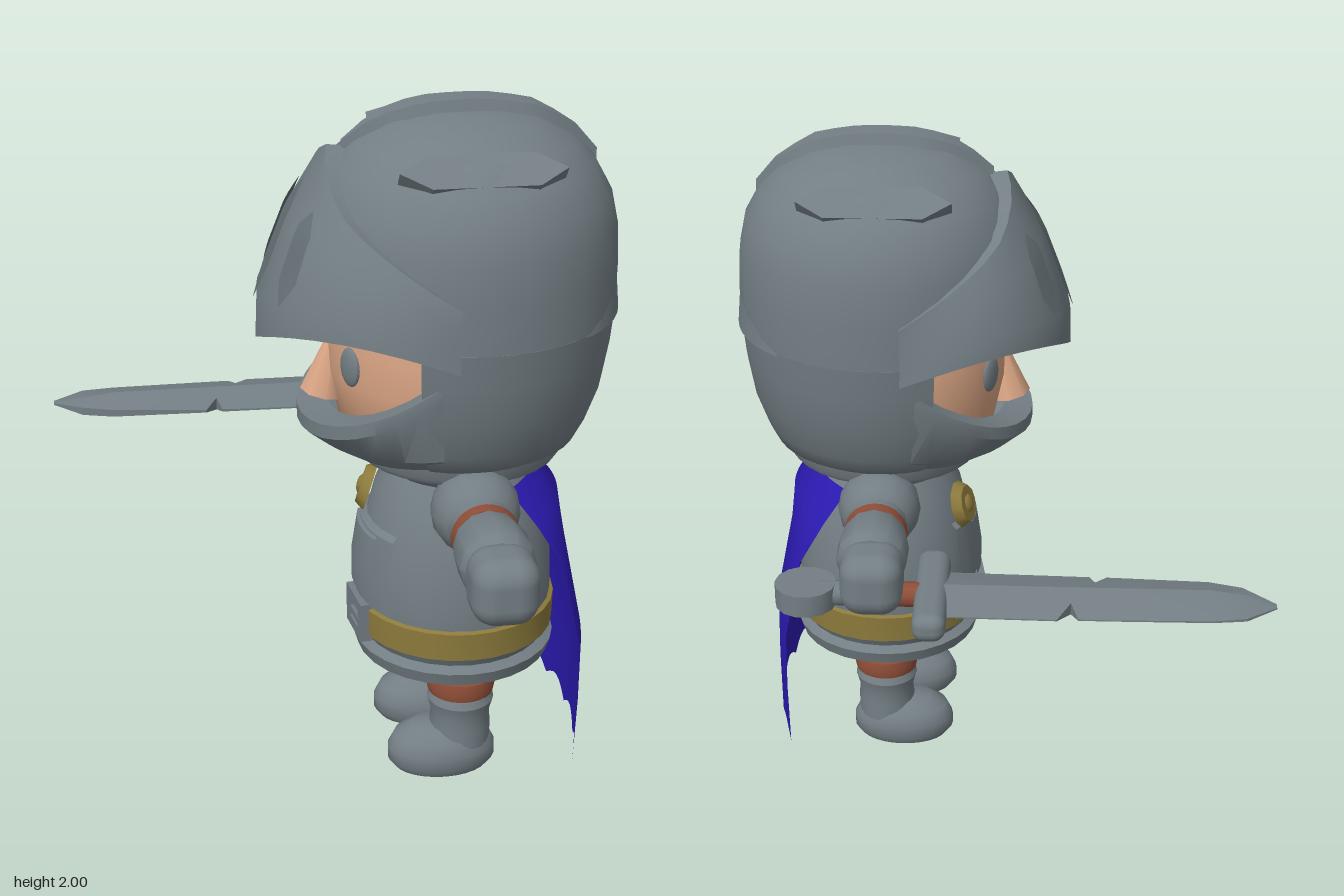
import * as THREE from 'three';
import { toCreasedNormals } from 'three/addons/utils/BufferGeometryUtils.js';
import { RoundedBoxGeometry } from 'three/addons/geometries/RoundedBoxGeometry.js';

const rad = THREE.MathUtils.degToRad;
const lerp = THREE.MathUtils.lerp;

const material = (name, color) => {
  const m = new THREE.MeshStandardMaterial({ color, side: THREE.DoubleSide });
  m.name = name;
  return m;
};

export function createModel() {
  const steel = material('steel', 0x737e84);
  const slitSteel = material('dark steel', 0x646f74);
  const skin = material('skin', 0xdba685);
  const leather = material('leather', 0x8f4e38);
  const gold = material('old gold', 0x8c7a3c);
  const blue = material('blue cloth', 0x2b1ab0);

  // The figure is built facing +z, then turned to its pose.
  const knight = new THREE.Group();
  knight.name = 'knight';
  knight.rotation.y = -Math.PI / 4;
  knight.position.set(0.365, 0, 0.065);

  const add = (name, geometry, mat, x = 0, y = 0, z = 0, parent = knight) => {
    const mesh = new THREE.Mesh(geometry, mat);
    mesh.name = name;
    mesh.position.set(x, y, z);
    parent.add(mesh);
    return mesh;
  };
  const crease = (g, angle = 0.6) => toCreasedNormals(g, angle);
  const outline = points => points.map(p => new THREE.Vector2(...p));

  // Turned part from [radius, y] pairs, optionally only between two angles from the front.
  const turned = (points, from = 0, to = 360, segments = 28) => crease(
    new THREE.LatheGeometry(outline(points), segments, rad(from), rad(to - from)));

  // Sheet whose points follow fn(u, v).
  const sheet = (nu, nv, fn, angle = 0.6) => {
    const g = new THREE.PlaneGeometry(1, 1, nu, nv);
    const uv = g.attributes.uv;
    for (let i = 0; i < uv.count; i++) g.attributes.position.setXYZ(i, ...fn(uv.getX(i), uv.getY(i)));
    return crease(g, angle);
  };
  const polar = (deg, r, y) => [r * Math.sin(rad(deg)), y, r * Math.cos(rad(deg))];

  // Helmet dome, sides and neck ring
  const dome = [[0.41, 1.42], [0.43, 1.42], [0.432, 1.55], [0.425, 1.66], [0.405, 1.75], [0.36, 1.83],
    [0.3, 1.89], [0.2, 1.945], [0.1, 1.965], [0, 1.97]];
  const domeY = r => {
    const i = dome.findIndex((p, k) => k > 1 && p[0] <= r);
    const [r0, y0] = dome[i - 1], [r1, y1] = dome[i];
    return lerp(y0, y1, (r - r0) / (r1 - r0));
  };
  add('helmetDome', turned(dome), steel);
  add('helmetSides', turned([[0.29, 1.02], [0.34, 1.05], [0.365, 1.1], [0.4, 1.2], [0.42, 1.32], [0.43, 1.42]], 66, 294), steel);
  add('neckRing', turned([[0.2, 0.93], [0.25, 0.985], [0.29, 0.985], [0.3, 1.0], [0.305, 1.05], [0.2, 1.06]]), steel);

  // Raised fold across the back of the helmet, tapering to its ends
  add('backFold', sheet(14, 2, (u, v) => {
    const swell = Math.sin(Math.PI * u);
    const k = Math.round(v * 2);
    return polar(lerp(132, 228, u), [0.42, 0.431 + 0.009 * swell, 0.43][k], [1.415, 1.415, 1.42 + 0.1 * swell][k]);
  }), steel);

  // Visor: swept bands around the front of the helmet
  const visorPoint = (deg, k, out = 0) => {
    const a = Math.min(1, Math.abs(deg) / 80);
    const yb = 1.34 + 0.11 * Math.sin(a * 2.8), yt = 1.88 - 0.33 * a ** 1.15;
    const rb = 0.57 - 0.12 * a ** 1.7, rt = Math.min(0.442, 0.37 + 0.15 * a);
    const rows = [[0.36, yb + 0.03], [rb, yb], [rb - 0.005, lerp(yb, yt, 0.22)],
      [lerp(rb, rt, 0.5), lerp(yb, yt, 0.68)], [rt, yt], [rt - 0.08, yt - 0.01]];
    const i = Math.min(4, Math.floor(k));
    return polar(deg, lerp(rows[i][0], rows[i + 1][0], k - i) + out, lerp(rows[i][1], rows[i + 1][1], k - i));
  };
  add('visor', sheet(18, 5, (u, v) => visorPoint(lerp(-80, 80, u), v * 5)), steel);
  for (const deg of [-21, 0, 21]) {
    add('visorSlit', sheet(2, 8, (u, v) => {
      const width = Math.min(1, 0.05 + 4 * Math.min(v, 1 - v)) * 9;
      return visorPoint(deg + (u - 0.5) * width, lerp(2.0, 3.5, v), 0.009);
    }), slitSteel);
  }

  // Jaw guard
  add('jawGuard', sheet(18, 5, (u, v) => {
    const deg = lerp(-74, 74, u), a = Math.abs(deg) / 74;
    const top = 1.13 + 0.2 * a ** 2.2;
    const front = 1 + 0.04 * Math.cos(rad(deg));
    const rows = [[0.2, 0.95], [0.29, lerp(0.97, 1.03, a)], [0.385, lerp(1.04, 1.09, a)], [0.44, top - 0.04],
      [0.44, top], [0.37, top + 0.01]];
    const [r, y] = rows[Math.round(v * 5)];
    return polar(deg, r * (r > 0.37 ? lerp(front, 0.95, a * a) : 1), y);
  }), steel);

  // Crest along the top of the helmet
  add('crest', sheet(3, 12, (u, v) => {
    const z = lerp(0.33, -0.37, v);
    const w = 0.008 + 0.05 * Math.min(1, 4 * Math.min(v, 1 - v));
    const k = Math.round(u * 3);
    return [[-w, -w * 0.7, w * 0.7, w][k], domeY(Math.abs(z)) + (k % 3 ? 0.03 : -0.03), z];
  }, 0.4), steel);

  // Hexagonal plates set onto both sides of the dome
  const hexagon = new THREE.Shape(outline(
    [[-0.22, 0], [-0.14, 0.05], [0.14, 0.05], [0.22, 0], [0.14, -0.05], [-0.14, -0.05]]));
  for (const s of [1, -1]) {
    const plate = add('domePlate', new THREE.ExtrudeGeometry(hexagon, { depth: 0.1, bevelEnabled: false }), steel,
      s * 0.237, 1.806, 0);
    plate.rotation.y = s * Math.PI / 2;
    plate.rotateX(-0.85);
  }

  // Face
  add('face', turned([[0.25, 1.0], [0.34, 1.1], [0.372, 1.25], [0.372, 1.35], [0.36, 1.5]], -80, 80, 16), skin);
  const nose = add('nose', crease(new THREE.CylinderGeometry(0.016, 0.066, 0.19, 8), 0.9), skin, 0, 1.26, 0.365);
  nose.rotation.x = -0.2;
  for (const s of [1, -1]) {
    const eye = add('eye', new THREE.SphereGeometry(1, 14, 10), steel, s * 0.172, 1.305, 0.33);
    eye.scale.set(0.042, 0.056, 0.014);
    eye.rotation.y = s * 0.48;
    const brow = add('brow', new THREE.BoxGeometry(0.17, 0.035, 0.03), skin, s * 0.18, 1.4, 0.335);
    brow.rotation.set(0, s * 0.48, s * 0.15);
  }

  // Torso, hem, belt and breastplate
  add('torso', turned([[0, 0.34], [0.2, 0.34], [0.26, 0.37], [0.28, 0.44], [0.284, 0.55], [0.28, 0.65],
    [0.262, 0.75], [0.235, 0.86], [0.2, 0.93], [0, 0.96]]), steel);
  add('hem', turned([[0.22, 0.335], [0.285, 0.345], [0.297, 0.385], [0.27, 0.4], [0.285, 0.43]]), steel);
  add('belt', turned([[0.27, 0.425], [0.293, 0.43], [0.295, 0.515], [0.27, 0.525]]), gold);
  add('breastplate', turned([[0.25, 0.53], [0.292, 0.53], [0.292, 0.64], [0.275, 0.76], [0.23, 0.79]], -34, 40, 10), steel);
  add('breastRidge', turned([[0.27, 0.54], [0.302, 0.56], [0.302, 0.64], [0.286, 0.75], [0.24, 0.77]], -16, 26, 8), steel);

  const buckleShape = new THREE.Shape(outline([[-0.075, -0.06], [0.075, -0.06], [0.075, 0.06], [-0.075, 0.06]]));
  buckleShape.holes.push(new THREE.Path(outline([[-0.04, -0.03], [-0.04, 0.03], [0.04, 0.03], [0.04, -0.03]])));
  const buckle = new THREE.Group();
  buckle.name = 'buckle';
  buckle.position.set(0.04, 0.473, 0.27);
  buckle.rotation.y = 0.14;
  knight.add(buckle);
  add('buckleFrame', new THREE.ExtrudeGeometry(buckleShape, { depth: 0.035, bevelEnabled: false }), steel, 0, 0, 0, buckle);
  add('buckleCentre', new THREE.BoxGeometry(0.09, 0.07, 0.02), steel, 0, 0, 0.017, buckle);
  add('bucklePin', new THREE.BoxGeometry(0.09, 0.02, 0.025), steel, 0.02, 0, 0.025, buckle);

  // Round clasp on the chest
  const clasp = new THREE.Group();
  clasp.name = 'clasp';
  clasp.position.set(-0.09, 0.82, 0.25);
  clasp.rotation.set(-0.3, -0.25, 0);
  knight.add(clasp);
  const disc = add('claspDisc', crease(new THREE.CylinderGeometry(0.058, 0.075, 0.03, 10)), gold, 0, 0, 0, clasp);
  disc.rotation.x = Math.PI / 2;
  const boss = add('claspBoss', new THREE.SphereGeometry(0.03, 10, 6), gold, 0, 0, 0.012, clasp);
  boss.scale.z = 0.5;

  // Limbs, one set for each side
  for (const s of [1, -1]) {
    const leg = new THREE.Group();
    leg.name = s > 0 ? 'leftLeg' : 'rightLeg';
    leg.position.x = s * 0.14;
    knight.add(leg);
    add('thigh', new THREE.CylinderGeometry(0.09, 0.085, 0.14, 16), steel, 0, 0.32, 0, leg);
    add('kneeStrap', turned([[0.07, 0.25], [0.097, 0.253], [0.102, 0.28], [0.097, 0.307], [0.07, 0.31]]), leather, 0, 0, 0, leg);
    add('greave', turned([[0.088, 0.04], [0.09, 0.14], [0.086, 0.18], [0.098, 0.225], [0.09, 0.245], [0, 0.25]]), steel, 0, 0, 0, leg);
    const shoe = add('shoe', turned([[0, 0], [0.094, 0], [0.107, 0.025], [0.107, 0.065], [0.094, 0.105], [0.06, 0.135], [0, 0.145]]),
      steel, 0, 0, 0.055, leg);
    shoe.scale.z = 1.5;

    const arm = new THREE.Group();
    arm.name = s > 0 ? 'leftArm' : 'rightArm';
    arm.position.y = 0.9;
    arm.rotation.z = -s * Math.PI / 2;
    knight.add(arm);
    add('pauldron', new THREE.SphereGeometry(0.125, 16, 10), steel, -s * 0.01, 0.29, 0, arm);
    add('upperArm', new THREE.CylinderGeometry(0.085, 0.1, 0.2, 14), steel, 0, 0.35, 0, arm);
    add('armStrap', turned([[0.07, 0.42], [0.094, 0.424], [0.094, 0.462], [0.07, 0.466]]), leather, 0, 0, 0, arm);
    add('bracer', turned([[0.06, 0.457], [0.094, 0.462], [0.104, 0.52], [0.103, 0.6], [0.085, 0.63], [0, 0.64]], 0, 360, 12), steel, 0, 0, 0, arm);
    add('hand', new RoundedBoxGeometry(0.19, 0.18, 0.18, 3, 0.065), steel, -s * 0.005, 0.705, 0.01, arm);
  }

  // Sword held flat in the right hand
  const sword = new THREE.Group();
  sword.name = 'sword';
  sword.position.set(-0.71, 0.857, 0);
  knight.add(sword);
  const rod = (name, r, length, mat, z) => {
    add(name, new THREE.CylinderGeometry(r, r, length, 10), mat, 0, 0, z, sword).rotation.x = Math.PI / 2;
  };
  rod('grip', 0.036, 0.14, leather, 0.1);
  rod('pommelNeck', 0.036, 0.1, steel, -0.09);
  add('pommel', crease(new THREE.CylinderGeometry(0.088, 0.088, 0.066, 14)), steel, 0, 0, -0.18, sword);
  add('guard', new RoundedBoxGeometry(0.41, 0.085, 0.095, 3, 0.035), steel, 0, 0, 0.18, sword);
  // Stations along the blade: distance, left edge, right edge, half thickness
  const stations = [[0.2, 0.125, -0.12, 0.035], [0.535, 0.115, -0.125, 0.035], [0.575, 0.113, -0.06, 0.035],
    [0.595, 0.112, -0.12, 0.035], [0.63, 0.11, -0.12, 0.035], [0.645, 0.055, -0.12, 0.035], [0.68, 0.11, -0.12, 0.035],
    [0.97, 0.085, -0.115, 0.035], [1.065, 0.055, -0.1, 0.022], [1.155, -0.015, -0.035, 0.003]];
  add('blade', sheet(6, stations.length - 1, (u, v) => {
    const [z, left, right, h] = stations[Math.round(v * (stations.length - 1))];
    const ridge = Math.min(0, left);
    const edge = x => Math.max(0.002, h * (1 - Math.abs(x) / 0.125));
    const loop = [[left, edge(left)], [ridge, h], [right, edge(right)], [right, -edge(right)], [ridge, -h],
      [left, -edge(left)], [left, edge(left)]];
    return [...loop[Math.round(u * 6)], z];
  }, 0.3), steel, 0, 0, 0, sword);

  // Cape: rows of y, half width and depth, with a scalloped lower edge
  const rows = [[0.08, 0.345, -0.295], [0.3, 0.37, -0.295], [0.5, 0.39, -0.29], [0.75, 0.365, -0.24],
    [0.86, 0.32, -0.17], [0.945, 0.255, -0.1]];
  add('cape', sheet(24, 5, (u, v) => {
    const k = Math.round(v * 5), [y, w, z] = rows[k];
    const s = 1 - 2 * u;
    const scallop = k ? 0 : 0.04 * Math.abs(Math.sin(u * Math.PI * 4));
    return [s * w, y + scallop, z - (k > 3 ? 0.12 : 0.06) * (1 - s * s)];
  }, 0.8), blue);

  const model = new THREE.Group();
  model.name = 'armouredFigure';
  model.add(knight);
  return model;
}
